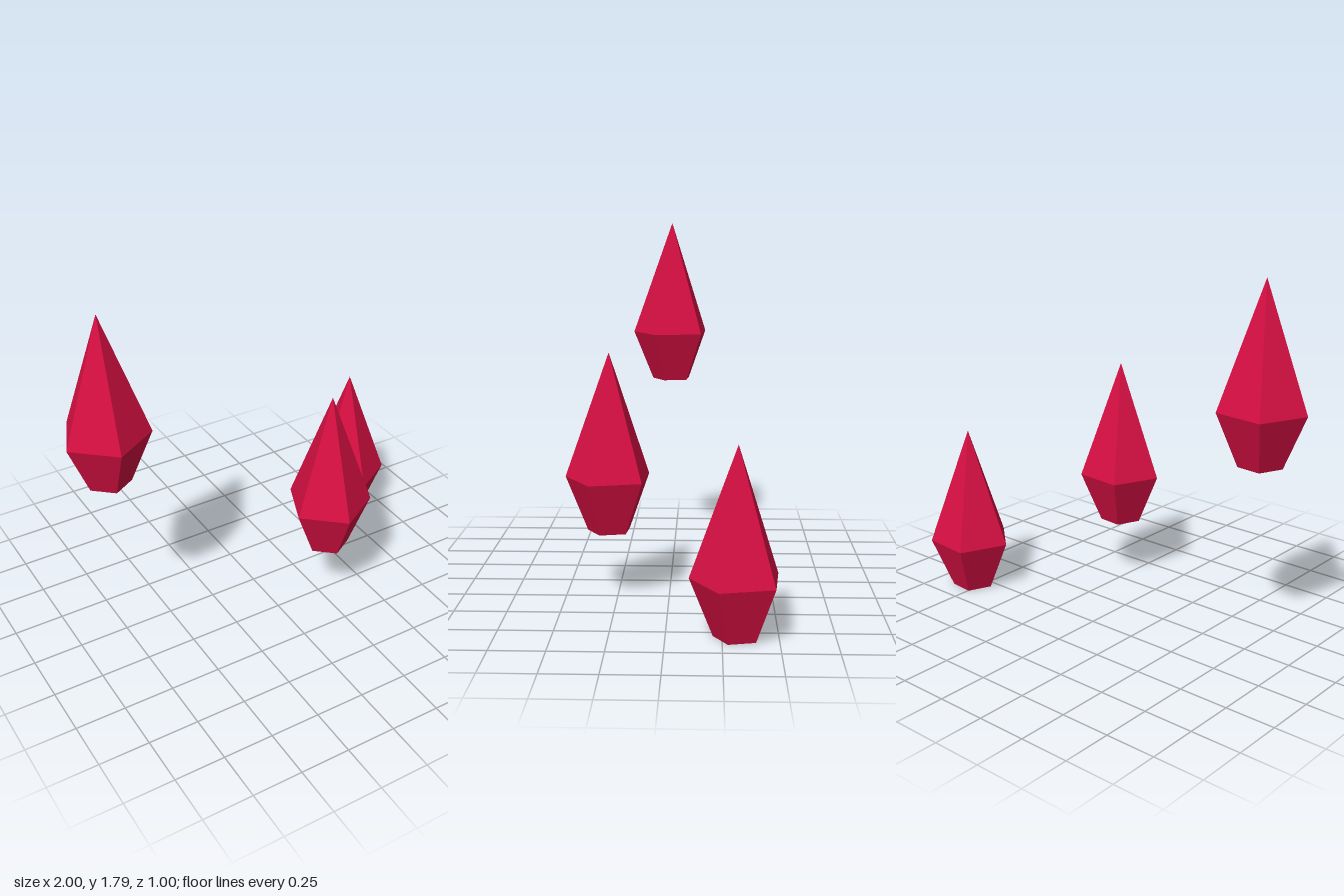
import * as THREE from 'three';

const SIDES = 5;
const TURN = -0.09; // slight twist shared by all crystals

// Pointed gem: narrow flat base, wide girdle, tall tip
function crystalGeometry() {
  const profile = [
    [0, 0],
    [0.107, 0],
    [0.214, 0.26],
    [0, 0.86],
  ].map(([r, y]) => new THREE.Vector2(r, y));
  return new THREE.LatheGeometry(profile, SIDES, TURN);
}

export function createModel() {
  const model = new THREE.Group();
  model.name = 'crystals';

  const ruby = new THREE.MeshStandardMaterial({ color: 0xd80f43, flatShading: true });
  ruby.name = 'ruby red';

  const geometry = crystalGeometry();
  const placements = {
    highCrystal: [-0.791, 0.93, 0.017],
    middleCrystal: [0.269, 0.333, 0.284],
    lowCrystal: [0.803, 0, -0.316],
  };

  // Three identical floating crystals at different heights
  for (const [name, position] of Object.entries(placements)) {
    const crystal = new THREE.Mesh(geometry, ruby);
    crystal.name = name;
    crystal.position.set(...position);
    model.add(crystal);
  }
  return model;
}
